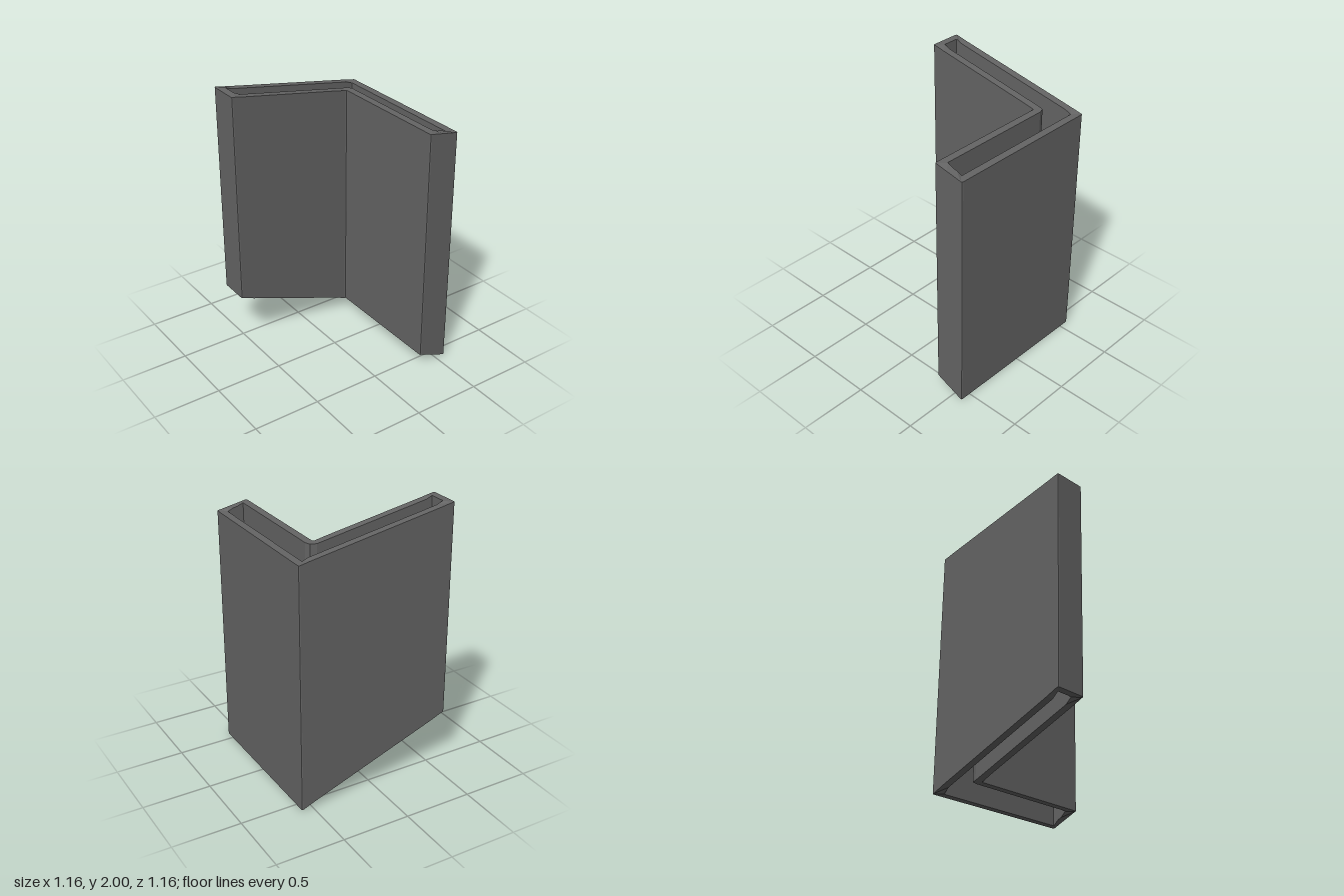
import * as THREE from 'three';

// Plan corners: outer x, z, rounding, then inner x, z, rounding
const CORNERS = [
  [-0.58, -0.58, 0.01, -0.525, -0.525, 0.004],
  [0.58, -0.58, 0.01, 0.525, -0.525, 0.004],
  [0.58, 0.58, 0.01, 0.525, 0.525, 0.004],
  [0.35, 0.58, 0.01, 0.405, 0.525, 0.004],
  [0.35, -0.35, 0.01, 0.405, -0.405, 0.055],
  [-0.58, -0.35, 0.01, -0.525, -0.405, 0.004],
];
const THICKNESS = 0.055;
const SETBACK = 0.1;

// Sloped ends of the channel
const slope = (x, left, right) => THREE.MathUtils.lerp(left, right, (x + 0.58) / 1.16);
const topY = (x) => slope(x, 2.0, 1.795);
const bottomY = (x) => slope(x, 0.43, 0);

// Corner i of the outer (offset 0) or inner (offset 3) outline
function corner(i, offset) {
  const c = CORNERS[(i + CORNERS.length) % CORNERS.length];
  return new THREE.Vector2(c[offset], c[offset + 1]);
}

// Three points rounding a corner
function roundCorner(i, offset) {
  const p = corner(i, offset), r = CORNERS[i][offset + 2];
  const towards = (q) => p.clone().add(q.sub(p).setLength(r));
  return new THREE.QuadraticBezierCurve(
    towards(corner(i - 1, offset)), p, towards(corner(i + 1, offset))
  ).getPoints(2);
}

// Section across the wall: the rims are level from outer to inner face
function section(outer, inner, x) {
  const top = topY(x), bottom = bottomY(x);
  return [
    [outer.x, bottom, outer.y], [outer.x, top, outer.y],
    [inner.x, top, inner.y], [inner.x, bottom, inner.y],
  ];
}

// Square section on the straight wall, set back from corner i along side (-1 or 1)
function straightSection(i, side) {
  const p = corner(i, 0);
  const dir = corner(i + side, 0).sub(p).normalize();
  const outer = p.addScaledVector(dir, SETBACK);
  const inward = new THREE.Vector2(-dir.y, dir.x).multiplyScalar(side * THICKNESS);
  return section(outer, outer.clone().add(inward), outer.x);
}

// Hollow wall: sections joined round the closed outline
function channelGeometry() {
  const sections = CORNERS.flatMap(([x], i) => {
    const inner = roundCorner(i, 3);
    return [
      straightSection(i, -1),
      ...roundCorner(i, 0).map((outer, k) => section(outer, inner[k], x)),
      straightSection(i, 1),
    ];
  });
  const pos = [];
  sections.forEach((s, i) => {
    const t = sections[(i + 1) % sections.length];
    for (let k = 0; k < 4; k++) {
      const m = (k + 1) % 4;
      for (const v of [s[k], s[m], t[m], s[k], t[m], t[k]]) pos.push(...v);
    }
  });
  const geometry = new THREE.BufferGeometry();
  geometry.setAttribute('position', new THREE.Float32BufferAttribute(pos, 3));
  geometry.computeVertexNormals();
  return geometry;
}

export function createModel() {
  const group = new THREE.Group();
  group.name = 'cornerChannel';
  const wall = new THREE.Mesh(
    channelGeometry(),
    new THREE.MeshStandardMaterial({ color: 0x646464, flatShading: true })
  );
  wall.name = 'hollowWall';
  group.add(wall);
  return group;
}
